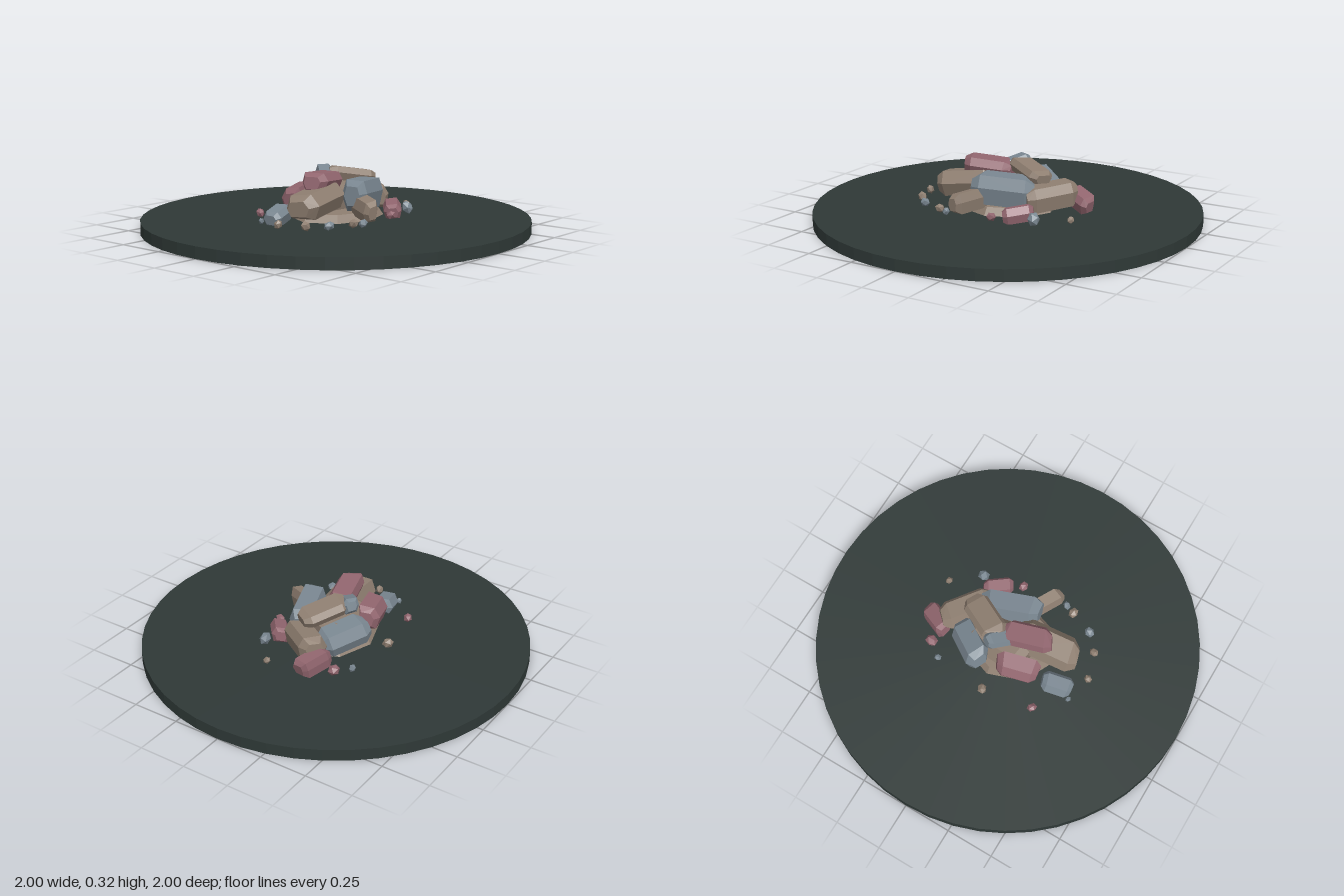
import * as THREE from 'three';
import { ConvexGeometry } from 'three/addons/geometries/ConvexGeometry.js';

const mat = (name, color) => {
  const m = new THREE.MeshStandardMaterial({ color, flatShading: true });
  m.name = name;
  return m;
};

// small seeded random, range -1..1
const seeded = (seed) => () => {
  seed = (seed * 16807) % 2147483647;
  return (seed / 2147483647) * 2 - 1;
};

// faceted block along z: hexagonal section, bevelled ends
function blockGeometry(w, h, len, rnd) {
  const section = [[-0.32, 0.5], [0.34, 0.46], [0.5, -0.02], [0.36, -0.5], [-0.36, -0.5], [-0.5, 0.05]];
  const rings = [[-0.5, 0.62], [-0.36, 1], [0.36, 1], [0.5, 0.62]];
  const jitter = section.map(() => [rnd() * 0.06, rnd() * 0.06]);
  const skew = [rnd() * 0.12, rnd() * 0.12];
  const pts = [];
  rings.forEach(([z, s], r) => section.forEach(([x, y], i) => {
    const px = x + jitter[i][0], py = y + jitter[i][1];
    pts.push(new THREE.Vector3(px * s * w, py * s * h, (z + px * skew[r >> 1]) * len));
  }));
  return new ConvexGeometry(pts);
}

export function createModel() {
  const group = new THREE.Group();
  const base = mat('dark slate', 0x2f3937);
  const tan = mat('tan stone', 0x8f7f71);
  const blue = mat('blue grey stone', 0x7a8791);
  const pink = mat('dusky pink stone', 0x92666f);

  const add = (name, geometry, material) => {
    const mesh = new THREE.Mesh(geometry, material);
    mesh.name = name;
    group.add(mesh);
    return mesh;
  };

  // round ground disc
  add('groundDisc', new THREE.CylinderGeometry(1, 1, 0.06, 48), base).position.y = 0.03;

  // flat slab under the pile
  const slab = add('bottomSlab', new THREE.CylinderGeometry(0.23, 0.26, 0.04, 8), tan);
  slab.position.set(0, 0.085, 0.01);
  slab.scale.z = 0.85;

  // blocks: name, material, start, end, width, height
  const blocks = [
    ['frontBlock', blue, [-0.09, 0.195, 0.18], [0.2, 0.175, 0.08], 0.13, 0.15],
    ['leftBlock', tan, [-0.37, 0.15, 0.07], [-0.06, 0.19, 0.03], 0.18, 0.13],
    ['rightBlock', tan, [0.18, 0.15, 0.13], [0.34, 0.17, -0.1], 0.14, 0.12],
    ['backBlock', blue, [0.04, 0.2, -0.21], [0.24, 0.14, -0.07], 0.14, 0.13],
    ['backLeftBlock', pink, [-0.24, 0.16, -0.1], [-0.03, 0.18, -0.16], 0.12, 0.12],
    ['upperLeftBlock', pink, [-0.235, 0.265, 0.04], [0.02, 0.245, -0.03], 0.13, 0.1],
    ['topBlock', tan, [0.02, 0.285, -0.07], [0.24, 0.245, 0.05], 0.13, 0.07],
    ['peakBlock', blue, [-0.04, 0.25, -0.03], [0.05, 0.29, -0.13], 0.09, 0.08],
    ['coreBlock', tan, [-0.15, 0.15, -0.05], [0.18, 0.15, -0.03], 0.22, 0.16],
    ['frontToeBlock', tan, [-0.12, 0.13, 0.34], [-0.03, 0.15, 0.16], 0.09, 0.11],
    ['leftChunk', blue, [-0.42, 0.09, -0.07], [-0.27, 0.12, -0.11], 0.1, 0.08],
    ['rightChunk', pink, [0.29, 0.14, -0.14], [0.44, 0.1, -0.07], 0.1, 0.09],
    ['frontRightChunk', pink, [0.13, 0.09, 0.27], [0.25, 0.11, 0.17], 0.09, 0.08],
  ];
  blocks.forEach(([name, material, a, b, w, h], i) => {
    const start = new THREE.Vector3(...a), end = new THREE.Vector3(...b);
    const rnd = seeded(137 + i * 911);
    rnd();
    const mesh = add(name, blockGeometry(w, h, start.distanceTo(end), rnd), material);
    mesh.position.copy(start).lerp(end, 0.5);
    mesh.lookAt(end);
  });

  // loose pebbles: material, x, z, radius
  const pebbles = [
    [pink, 0.335, -0.21, 0.032], [blue, 0.29, 0.24, 0.034], [pink, -0.295, -0.255, 0.026],
    [tan, -0.025, -0.3, 0.029], [blue, 0.26, -0.27, 0.021], [blue, -0.43, -0.12, 0.016],
    [tan, -0.465, 0.025, 0.023], [tan, -0.42, 0.165, 0.026], [blue, -0.345, 0.25, 0.027],
    [tan, -0.22, 0.3, 0.027], [blue, -0.17, 0.32, 0.022], [pink, 0.08, 0.295, 0.026],
    [tan, 0.435, 0.125, 0.02],
  ];
  pebbles.forEach(([material, x, z, r], i) => {
    const mesh = add('pebble', new THREE.IcosahedronGeometry(r, 0), material);
    mesh.position.set(x, 0.068 + r * 0.8, z);
    mesh.scale.set(1.1, 0.85, 0.95);
    mesh.rotation.set(i * 0.7, i * 1.9, i * 0.4);
  });

  return group;
}
